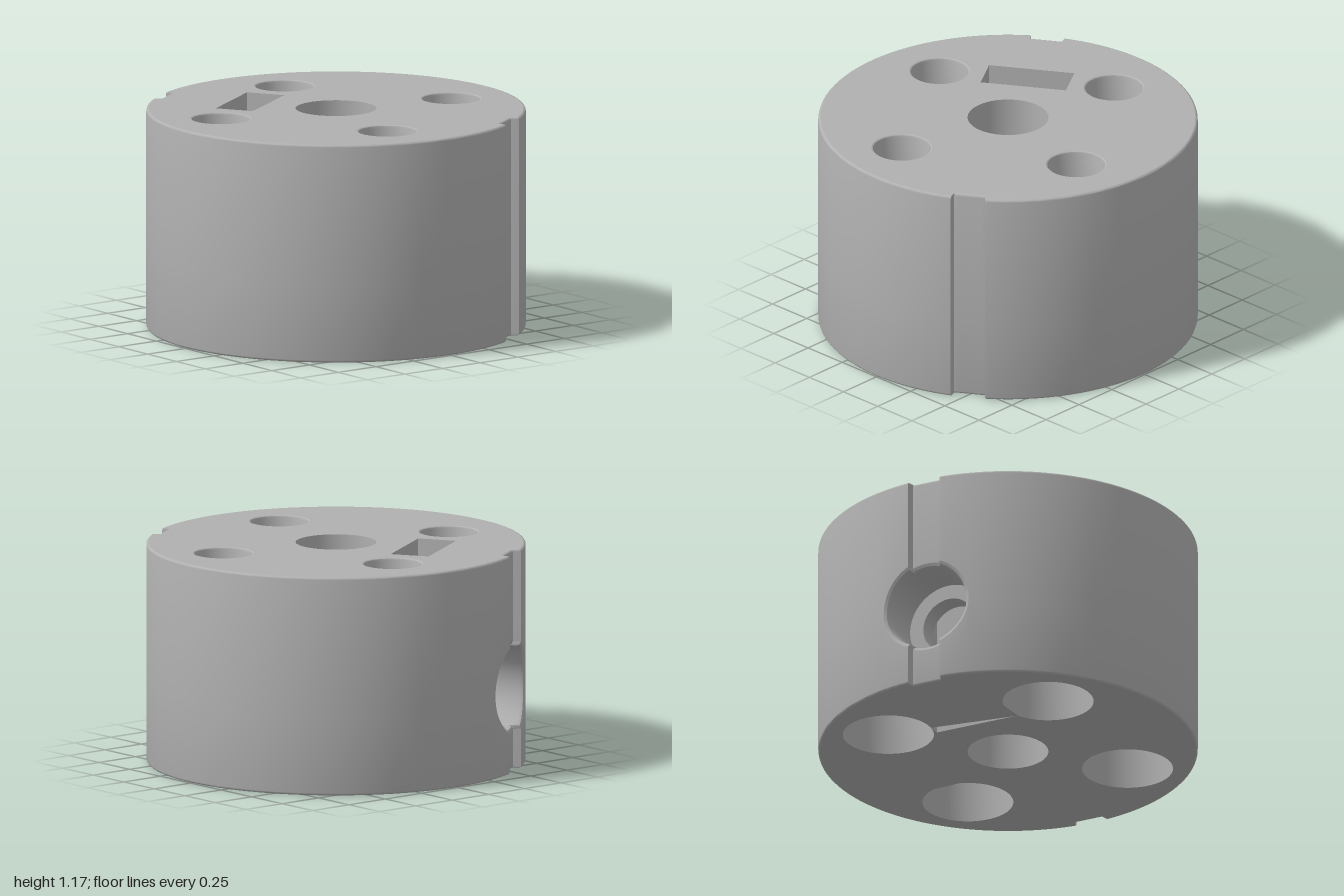
import * as THREE from 'three';
import { toCreasedNormals } from 'three/addons/utils/BufferGeometryUtils.js';

const H = 1.17;                                   // body height
const BEVEL = 0.013;                              // rounded rim
const SLOT = { w: 0.23, z0: 0.38, z1: 0.59 };     // through slot
const CENTRE_R = 0.213;
const BOLT = { p: 0.47, r: 0.15, headR: 0.24, step: 0.58, rim: 0.01 };
const BORE = { y: 0.445, mouthR: 0.25, headR: 0.228, r: 0.15, ledge: 0.70 };
const GROOVE = { floor: 0.955, inner: 0.083, outer: 0.093 };

const steel = new THREE.MeshStandardMaterial({ color: 0xb0b0b0, side: THREE.DoubleSide });
steel.name = 'plain steel grey';

// Angles round the side bore, with extra samples at the groove edges
const angles = [];
for (let i = 0; i <= 72; i++) angles.push((i / 72) * Math.PI * 2);
for (const x of [GROOVE.inner, GROOVE.outer, -GROOVE.inner, -GROOVE.outer]) {
  const a = Math.acos(x / BORE.mouthR);
  angles.push(a, Math.PI * 2 - a);
}
angles.sort((a, b) => a - b);
const boreXs = (r) => angles.filter((a) => a <= Math.PI + 1e-6).map((a) => -r * Math.cos(a));

// Depth of the outer skin at x, including the groove
function outerZ(x) {
  const round = Math.sqrt(Math.max(0, 1 - x * x)), ax = Math.abs(x);
  const t = THREE.MathUtils.clamp((ax - GROOVE.inner) / (GROOVE.outer - GROOVE.inner), 0, 1);
  return THREE.MathUtils.lerp(Math.min(GROOVE.floor, round), round, t);
}

// Surface through rows of [x, y, z] points
function grid(rows) {
  const pos = [], idx = [], n = rows[0].length;
  rows.forEach((row) => row.forEach((p) => pos.push(...p)));
  for (let i = 0; i < rows.length - 1; i++) {
    for (let j = 0; j < n - 1; j++) {
      const a = i * n + j, b = a + 1, c = b + n, d = a + n;
      idx.push(a, b, c, a, c, d);
    }
  }
  const g = new THREE.BufferGeometry();
  g.setAttribute('position', new THREE.Float32BufferAttribute(pos, 3));
  g.setIndex(idx);
  return g;
}

// Closed outline of the body, both grooves included
function outline() {
  const xs = boreXs(BORE.mouthR), half = [];
  const a0 = Math.asin(BORE.mouthR), N = 32;
  for (let i = 0; i < N; i++) half.push(-Math.sin(Math.PI / 2 + (a0 - Math.PI / 2) * (i / N)));
  const all = [...half, ...xs, ...half.map((x) => -x).reverse()];
  const front = all.map((x) => [x, outerZ(x)]);
  return [...front, ...front.slice(1).map(([x, z]) => [-x, -z])];
}

// Upright wall along a path, pierced by the side bore where z > 0
function piercedWall(path, r, bevel = 0) {
  const gap = ([x, z]) => (z > 0 && Math.abs(x) < r ? Math.sqrt(r * r - x * x) : 0);
  const rim = [];
  for (let k = 0; bevel && k < 3; k++) {
    const a = (k / 3) * Math.PI / 2;
    rim.push([1 - bevel * (1 - Math.sin(a)), bevel * (1 - Math.cos(a))]);
  }
  rim.push([1, bevel]);
  const low = rim.map(([s, y]) => path.map(([x, z]) => [x * s, y, z * s]));
  low.push(path.map((p) => [p[0], BORE.y - gap(p), p[1]]));
  const high = rim.map(([s, y]) => path.map(([x, z]) => [x * s, H - y, z * s])).reverse();
  high.unshift(path.map((p) => [p[0], BORE.y + gap(p), p[1]]));
  return [grid(low), grid(high)];
}

function circlePath(r, xs) {
  const back = [];
  for (let i = 1; i <= 40; i++) {
    const a = (i / 40) * Math.PI;
    back.push([r * Math.cos(a), -r * Math.sin(a)]);
  }
  const side = [];
  const a0 = Math.acos(xs[xs.length - 1] / r);
  for (let i = 0; i < 8; i++) side.push(r * Math.cos((a0 * i) / 8));
  const front = [...side.map((x) => -x), ...xs, ...side.reverse()];
  return [...front.map((x) => [x, Math.sqrt(Math.max(0, r * r - x * x))]), ...back];
}

function boreRing(r, zOf) {
  return angles.map((a) => {
    const x = r * Math.cos(a);
    return [x, BORE.y + r * Math.sin(a), zOf(x, a)];
  });
}

const boltCentres = [[1, 1], [1, -1], [-1, -1], [-1, 1]].map((c) => c.map((v) => v * BOLT.p));

// Flat end face with all its openings
function cap(path, top, boltR) {
  const s = top ? -1 : 1, k = 1 - BEVEL;
  const shape = new THREE.Shape(path.slice(0, -1).map(([x, z]) => new THREE.Vector2(x * k, s * z * k)));
  const round = (x, z, r) => shape.holes.push(new THREE.Path().absarc(x, s * z, r, 0, Math.PI * 2, true));
  round(0, 0, CENTRE_R);
  boltCentres.forEach(([x, z]) => round(x, z, boltR));
  const { w, z0, z1 } = SLOT;
  shape.holes.push(new THREE.Path([[-w, z0], [-w, z1], [w, z1], [w, z0]].map(([x, z]) => new THREE.Vector2(x, s * z))));
  const g = new THREE.ShapeGeometry(shape, 32);
  g.rotateX(top ? -Math.PI / 2 : Math.PI / 2);
  g.translate(0, top ? H : 0, 0);
  return g;
}

export function createModel() {
  const model = new THREE.Group();
  model.name = 'clampHub';
  const add = (name, geometry) => {
    const mesh = new THREE.Mesh(toCreasedNormals(geometry, 0.6), steel);
    mesh.name = name;
    model.add(mesh);
    return mesh;
  };

  // Outer skin and end faces
  const body = outline();
  piercedWall(body, BORE.mouthR, BEVEL).forEach((g) => add('outerWall', g));
  add('topFace', cap(body, true, BOLT.r + BOLT.rim));
  add('bottomFace', cap(body, false, BOLT.headR));

  // Centre hole and slot
  const xs = boreXs(BORE.r);
  piercedWall(circlePath(CENTRE_R, xs).reverse(), BORE.r).forEach((g) => add('centreHole', g));
  const { w, z0, z1 } = SLOT;
  const across = [-w, ...xs, w];
  const slotPath = [...across.map((x) => [x, z1]), ...across.map((x) => [-x, z0]), [-w, z1]];
  piercedWall(slotPath.reverse(), BORE.r).forEach((g) => add('slotWall', g));

  // Bolt holes, widened for the heads from below
  const profile = [
    [BOLT.r + BOLT.rim, H], [BOLT.r + 0.003, H - 0.004], [BOLT.r, H - 0.012],
    [BOLT.r, BOLT.step], [BOLT.headR, BOLT.step], [BOLT.headR, 0],
  ].map(([r, y]) => new THREE.Vector2(r, y));
  for (const [x, z] of boltCentres) {
    add('boltHole', new THREE.LatheGeometry(profile, 64)).position.set(x, 0, z);
  }

  // Stepped side bore running through the slot into the centre hole
  const mouth = (x, a) => outerZ(BORE.mouthR * Math.cos(a));
  add('sideBoreHead', grid([
    boreRing(BORE.mouthR, mouth),
    boreRing(BORE.headR + 0.007, (x, a) => mouth(x, a) - 0.007),
    boreRing(BORE.headR, (x, a) => mouth(x, a) - 0.022),
    boreRing(BORE.headR, () => BORE.ledge),
    boreRing(BORE.r, () => BORE.ledge),
    boreRing(BORE.r, () => z1),
  ]));
  add('sideBoreInner', grid([
    boreRing(BORE.r, () => z0),
    boreRing(BORE.r, (x) => Math.sqrt(CENTRE_R ** 2 - x * x)),
  ]));

  // Turn the bored groove to the back
  model.rotation.y = Math.atan2(-0.525, -0.851);
  const root = new THREE.Group();
  root.name = 'hub';
  root.add(model);
  return root;
}
